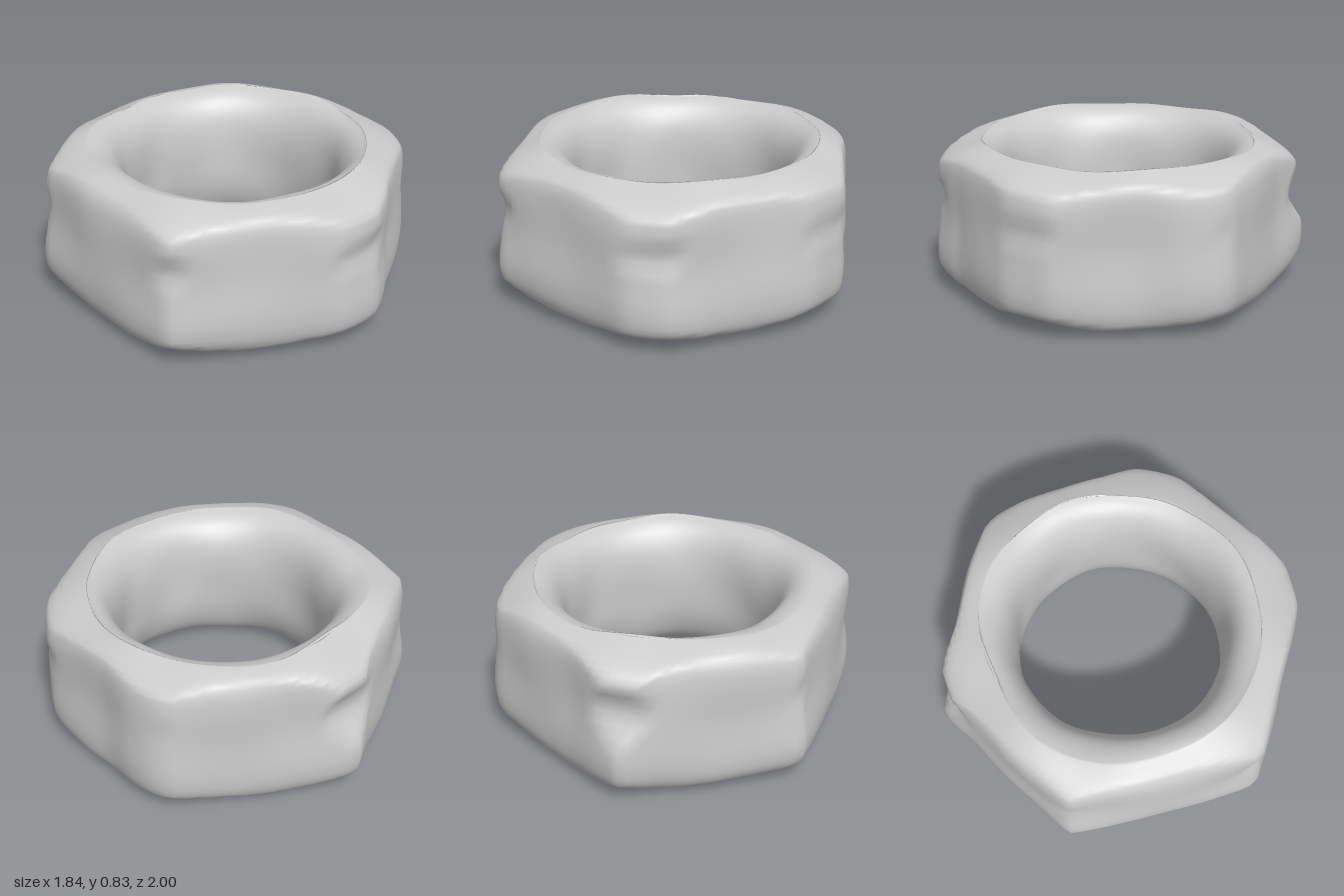
import * as THREE from 'three';

// Uneven hexagonal outer edge, [x, z], from the back corner round past +x
const OUTLINE = [
  [0.06, -1], [0.2, -0.92], [0.36, -0.79], [0.62, -0.63], [0.86, -0.46], [0.91, -0.35], [0.92, -0.2], [0.89, 0],
  [0.89, 0.2], [0.88, 0.45], [0.73, 0.66], [0.5, 0.78], [0.26, 0.89], [0.2, 0.93], [0.03, 1], [-0.2, 0.97],
  [-0.47, 0.78], [-0.72, 0.6], [-0.91, 0.45], [-0.92, 0.36], [-0.9, 0.1], [-0.87, -0.2], [-0.81, -0.53],
  [-0.79, -0.6], [-0.62, -0.69], [-0.4, -0.8], [-0.12, -0.91],
];

// Wall section, [0 = hole wall .. 1 = outer edge, height]: hole, top, outside, bottom
const SECTION = [
  [0, 0.42], [0.02, 0.58], [0.1, 0.7], [0.26, 0.785], [0.5, 0.825], [0.74, 0.815], [0.9, 0.76],
  [0.96, 0.66], [0.965, 0.45], [1, 0.24], [0.95, 0.11], [0.77, 0.03], [0.5, 0.015], [0.28, 0.05],
  [0.12, 0.13], [0.02, 0.26],
];

const closedCurve = (points, tension) => new THREE.CatmullRomCurve3(
  points.map(([a, b]) => new THREE.Vector3(a, b, 0)), true, 'catmullrom', tension);

// Limits the six corners: chamfered above and below, hollowed halfway; the back corner leans in
function cornerRadius(angle, y) {
  const e = Math.min(1, Math.max(0, Math.abs(y - 0.42) - 0.22) / 0.2);
  const hollow = 0.08 * Math.exp(-(((y - 0.53) / 0.13) ** 2));
  const lean = 0.06 * THREE.MathUtils.smoothstep(y, 0.22, 0.45) * Math.max(0, -Math.sin(angle)) ** 12;
  return 0.7 + 0.33 * (1 - e * e) - hollow - lean;
}

function ringGeometry(around, across) {
  const outline = closedCurve(OUTLINE, 0.2).getSpacedPoints(around);
  const section = closedCurve(SECTION, 0.5).getPoints(across);
  const hole = { x: 0.02, z: 0.02, r: 0.555 };
  const positions = [], index = [];
  for (let i = 0; i < around; i++) {
    const edge = outline[i];
    const dx = edge.x - hole.x, dz = edge.y - hole.z;
    const angle = Math.atan2(dz, dx), wall = Math.hypot(dx, dz) - hole.r;
    for (let j = 0; j < across; j++) {
      const { x: u, y } = section[j];
      // the hole's rim stays circular, the corners take up the rest of the wall
      const r = hole.r + 0.36 * u + (wall - 0.36) * u ** 3;
      const x = hole.x + r * Math.cos(angle), z = hole.z + r * Math.sin(angle);
      const cut = Math.min(1, cornerRadius(angle, y) / Math.hypot(x, z));
      // gentle dents, pushed radially and vertically
      const dent = 0.004 * Math.sin(5 * angle + 9 * y) + 0.003 * Math.sin(9 * angle - 7 * y + 1);
      const lift = 0.006 * Math.sin(4 * angle + 5 * u) + 0.004 * Math.sin(9 * angle + 2);
      positions.push(x * cut + dent * Math.cos(angle), Math.max(0, y + lift), z * cut + dent * Math.sin(angle));
      const i2 = (i + 1) % around, j2 = (j + 1) % across;
      const a = i * across + j, b = i2 * across + j, c = i2 * across + j2, d = i * across + j2;
      index.push(a, b, c, a, c, d);
    }
  }
  const geometry = new THREE.BufferGeometry();
  geometry.setAttribute('position', new THREE.Float32BufferAttribute(positions, 3));
  geometry.setIndex(index);
  geometry.computeVertexNormals();
  return geometry;
}

export function createModel() {
  const group = new THREE.Group();
  const nut = new THREE.Mesh(ringGeometry(120, 64), new THREE.MeshStandardMaterial({ color: 0xcccccc }));
  nut.name = 'hexNut';
  group.add(nut);
  return group;
}
